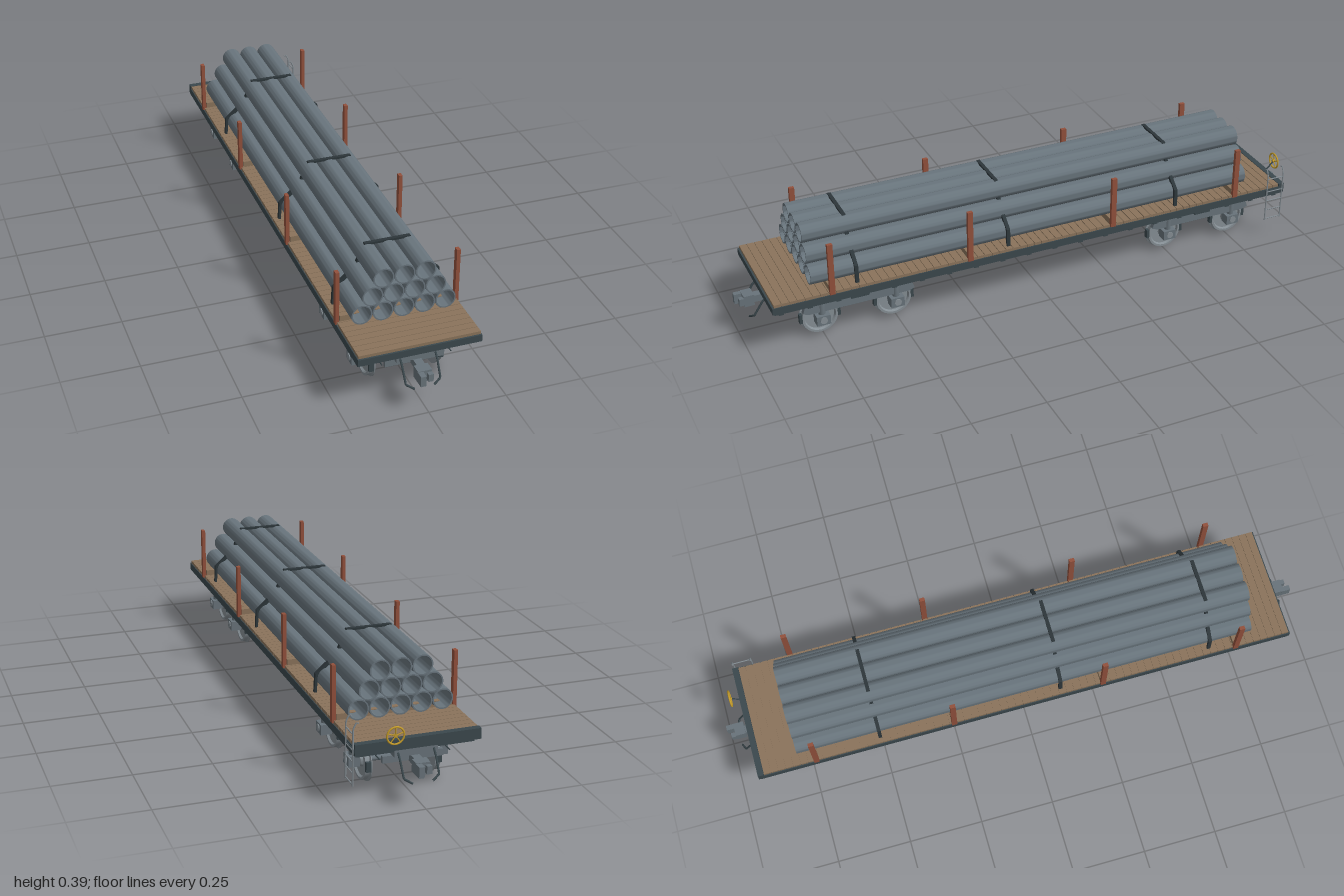
import * as THREE from 'three';
import { toCreasedNormals } from 'three/addons/utils/BufferGeometryUtils.js';

const mat = (name, color) => {
  const m = new THREE.MeshStandardMaterial({ color });
  m.name = name;
  return m;
};

export function createModel() {
  const pipeSteel = mat('pipe steel', 0x68747c);
  const frameDark = mat('dark frame', 0x3b484d);
  const strapDark = mat('strap black', 0x2d363a);
  const steel = mat('running gear steel', 0x68737a);
  const rimSteel = mat('wheel steel', 0x858e94);
  const wood = mat('deck wood', 0x8a735b);
  const rust = mat('stake red', 0x92503c);
  const brass = mat('handwheel yellow', 0xc49c2c);

  const model = new THREE.Group();
  model.name = 'flatWagon';
  const body = new THREE.Group();
  body.name = 'wagonBody';
  body.position.x = -0.0025;
  model.add(body);

  const add = (name, geo, m, x = 0, y = 0, z = 0, parent = body) => {
    const mesh = new THREE.Mesh(geo, m);
    mesh.name = name;
    mesh.position.set(x, y, z);
    parent.add(mesh);
    return mesh;
  };
  // Box given by its extents on y, and centre and size on x and z
  const box = (name, m, x, w, y0, y1, z, d, parent = body) =>
    add(name, new THREE.BoxGeometry(w, y1 - y0, d), m, x, (y0 + y1) / 2, z, parent);
  // Rod between two points
  const rod = (name, m, a, b, r, parent = body, sides = 8) => {
    const p = new THREE.Vector3(...a), q = new THREE.Vector3(...b);
    const mesh = add(name, new THREE.CylinderGeometry(r, r, p.distanceTo(q), sides), m, 0, 0, 0, parent);
    mesh.position.copy(p).lerp(q, 0.5);
    mesh.quaternion.setFromUnitVectors(new THREE.Vector3(0, 1, 0), q.sub(p).normalize());
    return mesh;
  };
  // Bent tube with straight runs
  const bent = (name, m, pts, r, parent = body) => {
    const path = new THREE.CurvePath();
    const v = pts.map(p => new THREE.Vector3(...p));
    for (let i = 1; i < v.length; i++) path.add(new THREE.LineCurve3(v[i - 1], v[i]));
    return add(name, new THREE.TubeGeometry(path, 24, r, 6, false), m, 0, 0, 0, parent);
  };

  // Thin deck of cross planks with shallow grooves
  box('deckBase', wood, 0, 0.384, 0.187, 0.195, 0.0075, 1.832);
  const planks = 72, pitch = 1.835 / planks;
  for (let i = 0; i < planks; i++)
    box('plank', wood, 0, 0.387, 0.188, 0.198, -0.91 + pitch * (i + 0.5), pitch - 0.002);

  // Underframe
  for (const s of [-1, 1]) {
    box('sideBeam', frameDark, s * 0.189, 0.015, 0.162, 0.188, 0, 1.85);
    box('innerSill', frameDark, s * 0.147, 0.024, 0.137, 0.166, 0, 1.6);
    box('endBeam', frameDark, 0, 0.393, 0.165, 0.188, s * 0.918, 0.024);
    box('draftGear', steel, 0, 0.136, 0.134, 0.166, s * 0.86, 0.1);
    rod('brakeRod', frameDark, [s * 0.11, 0.13, -0.9], [s * 0.11, 0.13, 0.9], 0.002);
  }
  box('backCap', frameDark, 0, 0.393, 0.186, 0.199, -0.92, 0.02);
  box('floorPlate', frameDark, 0, 0.37, 0.178, 0.187, 0, 1.82);
  box('centreSill', frameDark, 0, 0.136, 0.137, 0.178, 0, 1.62);
  for (let i = 0; i < 20; i++)
    box('crossMember', frameDark, 0, 0.37, 0.15, 0.18, -0.9 + i * 1.8 / 19, 0.016);

  // Equipment under the floor
  box('equipmentBox', frameDark, 0.057, 0.074, 0.093, 0.146, 0.042, 0.155);
  rod('airTank', steel, [-0.06, 0.113, -0.14], [-0.06, 0.113, -0.02], 0.025, body, 20);

  // Bogies with two wheelsets each
  const wheelProfile = [[0, 0.1], [0.0665, 0.1], [0.0665, 0.103], [0.061, 0.106], [0.0605, 0.12],
    [0.053, 0.12], [0.049, 0.113], [0.021, 0.112], [0.018, 0.12], [0, 0.12]]
    .map(p => new THREE.Vector2(...p));
  const wheelGeo = toCreasedNormals(new THREE.LatheGeometry(wheelProfile, 32).rotateZ(-Math.PI / 2), 0.5);
  const frameShape = new THREE.Shape([[-0.19, 0.108], [-0.18, 0.134], [0.18, 0.134], [0.19, 0.108],
    [0.17, 0.1], [-0.17, 0.1]].map(p => new THREE.Vector2(...p)).reverse());
  const sideFrameGeo = new THREE.ExtrudeGeometry(frameShape, { depth: 0.016, bevelEnabled: false });
  sideFrameGeo.translate(0, 0, -0.008).rotateY(Math.PI / 2);
  for (const bz of [-0.627, 0.631]) {
    const bogie = new THREE.Group();
    bogie.name = 'bogie';
    bogie.position.z = bz;
    body.add(bogie);
    box('bolster', steel, 0, 0.26, 0.104, 0.131, 0, 0.07, bogie);
    rod('pivot', frameDark, [0, 0.13, 0], [0, 0.15, 0], 0.03, bogie, 16);
    for (const s of [-1, 1]) {
      add('sideFrame', sideFrameGeo, steel, s * 0.14, 0, 0, bogie);
      box('bearer', frameDark, s * 0.147, 0.026, 0.13, 0.15, 0, 0.06, bogie);
      const wz = s * 0.126;
      rod('axle', steel, [-0.15, 0.067, wz], [0.15, 0.067, wz], 0.009, bogie, 14);
      for (const t of [-1, 1]) {
        const wheel = add('wheel', wheelGeo, rimSteel, 0, 0.067, wz, bogie);
        if (t < 0) wheel.rotation.y = Math.PI;
        box('journalBox', steel, t * 0.142, 0.036, 0.056, 0.09, wz, 0.046, bogie);
        rod('journalCap', rimSteel, [t * 0.155, 0.074, wz], [t * 0.163, 0.074, wz], 0.012, bogie, 14);
        rod('springPot', steel, [t * 0.14, 0.088, wz], [t * 0.14, 0.132, wz], 0.0115, bogie, 14);
        for (const u of [-1, 1])
          box('brakeShoe', frameDark, t * 0.113, 0.016, 0.054, 0.086, wz + u * 0.064, 0.01, bogie);
      }
    }
  }

  // Couplers and hoses, one set at each end
  for (const s of [0, Math.PI]) {
    const end = new THREE.Group();
    end.name = 'couplerEnd';
    end.rotation.y = s;
    body.add(end);
    box('couplerShank', steel, 0, 0.026, 0.106, 0.13, 0.91, 0.08, end);
    box('couplerHead', steel, -0.004, 0.044, 0.098, 0.137, 0.958, 0.034, end);
    box('couplerJaw', steel, -0.018, 0.017, 0.1, 0.135, 0.985, 0.03, end);
    box('couplerKnuckle', steel, 0.01, 0.016, 0.105, 0.13, 0.977, 0.026, end);
    box('couplerCarrier', steel, 0, 0.19, 0.108, 0.13, 0.88, 0.012, end);
    for (const t of [-1, 1])
      bent('airHose', frameDark, [[t * 0.056, 0.15, 0.905], [t * 0.056, 0.13, 0.925],
        [t * 0.055, 0.084, 0.955], [t * 0.031, 0.07, 0.965]], 0.0035, end);
  }

  // Pipe stack: rows of five, four and three open pipes
  const ring = new THREE.Shape().absarc(0, 0, 0.033, 0, Math.PI * 2);
  ring.holes.push(new THREE.Path().absarc(0, 0, 0.0285, 0, Math.PI * 2, true));
  const pipeGeo = toCreasedNormals(
    new THREE.ExtrudeGeometry(ring, { depth: 1.578, bevelEnabled: false, curveSegments: 28 }), 0.6);
  [5, 4, 3].forEach((n, row) => {
    for (let i = 0; i < n; i++)
      add('pipe', pipeGeo, pipeSteel, (i - (n - 1) / 2) * 0.067, 0.243 + row * 0.058, -0.786);
  });

  // Lashing straps
  const half = [[0.1775, 0.197], [0.174, 0.259], [0.107, 0.318], [0.074, 0.395]];
  const outer = [...half, ...half.map(([x, y]) => [-x, y]).reverse()];
  const inner = outer.map(([x, y]) => [x - Math.sign(x) * 0.008, y > 0.22 ? y - 0.007 : y]);
  const strapShape = new THREE.Shape([...outer, ...inner.reverse()].map(p => new THREE.Vector2(...p)));
  const strapGeo = new THREE.ExtrudeGeometry(strapShape, { depth: 0.012, bevelEnabled: false });
  for (const z of [0.643, 0.118, -0.507]) add('strap', strapGeo, strapDark, 0, 0, z - 0.006);

  // Side stakes, with a timber bearer under the load between each pair
  for (const z of [0.733, 0.262, -0.257, -0.73]) {
    box('bearer', wood, 0, 0.37, 0.197, 0.217, z, 0.016);
    for (const s of [-1, 1]) box('stake', rust, s * 0.1935, 0.012, 0.19, 0.373, z, 0.018);
  }

  // Brake handwheel at the back
  const hand = new THREE.Group();
  hand.name = 'handwheel';
  hand.position.set(0.084, 0.225, -0.957);
  body.add(hand);
  add('wheelRim', new THREE.TorusGeometry(0.0265, 0.003, 8, 28), brass, 0, 0, 0, hand);
  for (let i = 0; i < 5; i++) {
    const a = Math.PI / 2 + i * Math.PI * 0.4;
    rod('spoke', brass, [0, 0, 0], [0.026 * Math.cos(a), 0.026 * Math.sin(a), 0], 0.002, hand, 6);
  }
  rod('hub', brass, [0, 0, -0.004], [0, 0, 0.006], 0.005, hand, 10);
  rod('spindle', frameDark, [0, 0, 0], [0, -0.03, 0.03], 0.0025, hand);

  // Ladder at the back corner
  for (const z of [-0.86, -0.921])
    bent('ladderStile', rimSteel, [[0.183, 0.262, z], [0.19, 0.266, z], [0.2, 0.245, z], [0.2, 0.067, z]], 0.0025);
  for (const y of [0.072, 0.108, 0.144, 0.18, 0.23])
    rod('ladderRung', rimSteel, [0.2, y, -0.921], [0.2, y, -0.86], 0.002);
  box('ladderBracket', frameDark, 0.197, 0.006, 0.168, 0.184, -0.89, 0.066);

  return model;
}
